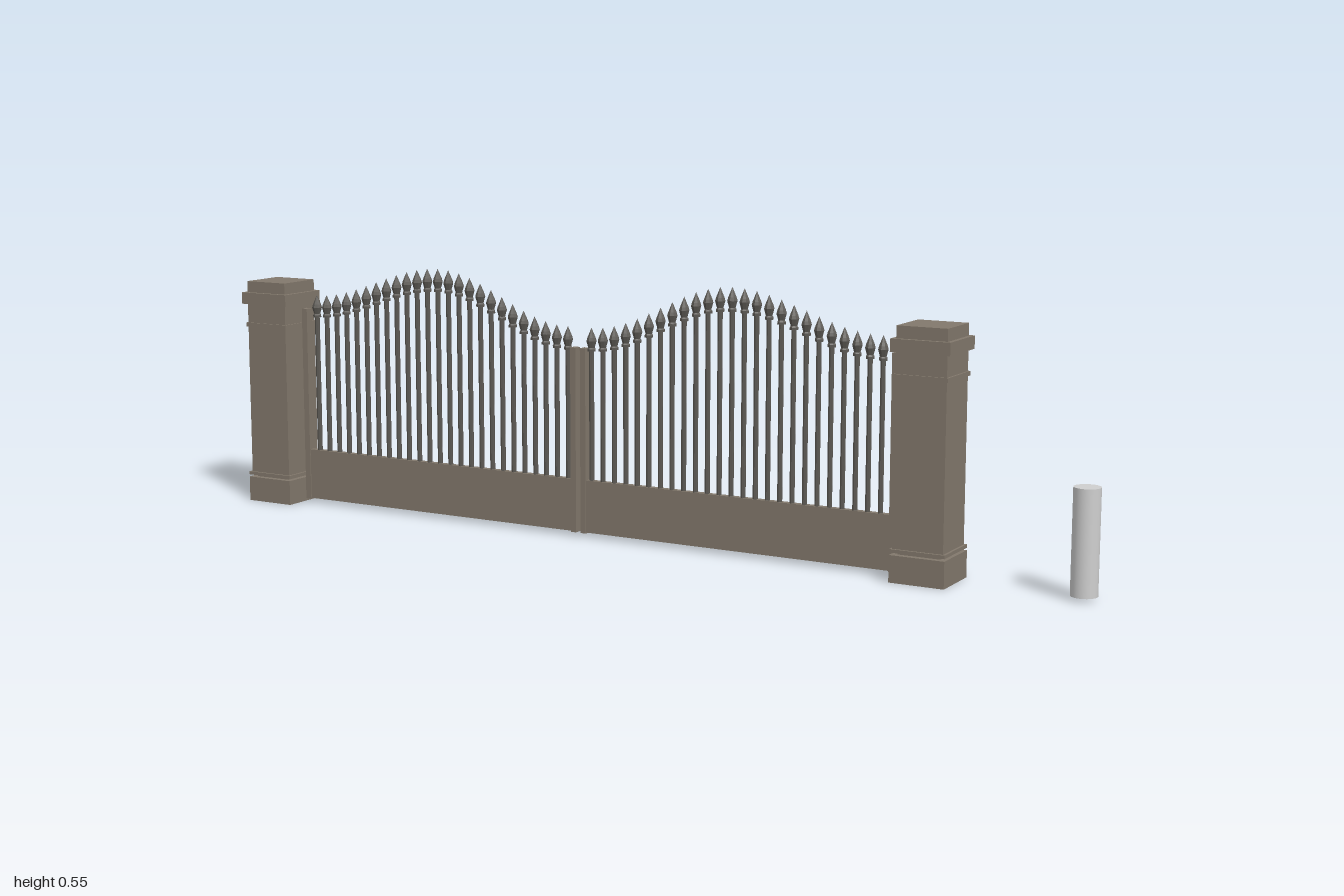
import * as THREE from 'three';

const stone = new THREE.MeshStandardMaterial({ color: 0x82786c });
stone.name = 'warm stone';
const iron = new THREE.MeshStandardMaterial({ color: 0x5c5954, flatShading: true });
iron.name = 'dark iron';
const pale = new THREE.MeshStandardMaterial({ color: 0xcfcfcf });
pale.name = 'pale grey';

const CENTRE = -0.1425; // line where the two gate leaves meet

function add(parent, name, geometry, material, x, y, z = 0) {
  const mesh = new THREE.Mesh(geometry, material);
  mesh.name = name;
  mesh.position.set(x, y, z);
  parent.add(mesh);
  return mesh;
}

// Box spanning y0..y1, centred on x and z = 0
function block(parent, name, x, y0, y1, width, depth, material = stone) {
  return add(parent, name, new THREE.BoxGeometry(width, y1 - y0, depth), material, x, (y0 + y1) / 2);
}

// Square pillar built from stacked courses
function pillar(x) {
  const group = new THREE.Group();
  group.name = 'pillar';
  const courses = [
    ['pillarBase', 0, 0.055, 0.058],
    ['pillarRecess', 0.055, 0.06, 0.045],
    ['pillarLowerBand', 0.06, 0.067, 0.058],
    ['pillarShaft', 0.067, 0.505, 0.053],
    ['pillarUpperBand', 0.402, 0.411, 0.0565],
    ['pillarCap', 0.454, 0.48, 0.062],
  ];
  for (const [name, y0, y1, half] of courses) block(group, name, x, y0, y1, half * 2, half * 2);
  return group;
}

// Height of a picket tip: t runs from the outer (0) to the inner (1) end of a leaf
function tipHeight(t) {
  const end = t < 0.5 ? 0.477 : 0.449;
  return end + (0.553 - end) * (0.5 - 0.5 * Math.cos(t * Math.PI * 2));
}

const spearGeometry = new THREE.LatheGeometry(
  [[0, 0], [0.009, 0], [0.009, 0.005], [0.007, 0.008], [0.011, 0.022], [0.009, 0.029], [0, 0.05]]
    .map(([r, y]) => new THREE.Vector2(r, y)), 8);

// One gate leaf; side -1 or +1 puts it on either side of the centre line
function leaf(side) {
  const group = new THREE.Group();
  group.name = side < 0 ? 'rightLeaf' : 'leftLeaf';
  const at = (d) => CENTRE + side * d;
  block(group, 'kickPanel', at(0.368), 0.01, 0.123, 0.716, 0.014);
  block(group, 'hingePost', at(0.7235), 0.008, 0.445, 0.014, 0.018);
  block(group, 'meetingPost', at(0.012), 0.008, 0.405, 0.013, 0.018);

  const count = 25;
  for (let i = 0; i < count; i++) {
    const t = i / (count - 1);
    const x = at(0.694 - t * 0.665);
    const base = tipHeight(t) - 0.05;
    const bar = new THREE.CylinderGeometry(0.0055, 0.0055, base - 0.118, 8, 1, true);
    add(group, 'picket', bar, iron, x, (base + 0.118) / 2);
    add(group, 'spearHead', spearGeometry, iron, x, base);
  }
  return group;
}

export function createModel() {
  const model = new THREE.Group();
  model.name = 'gate';
  for (const side of [-1, 1]) {
    model.add(pillar(CENTRE + side * 0.7965));
    model.add(leaf(side));
  }
  // Free-standing post beside the gate
  add(model, 'bollard', new THREE.CylinderGeometry(0.0265, 0.0265, 0.21, 24), pale, 0.972, 0.113);
  return model;
}
